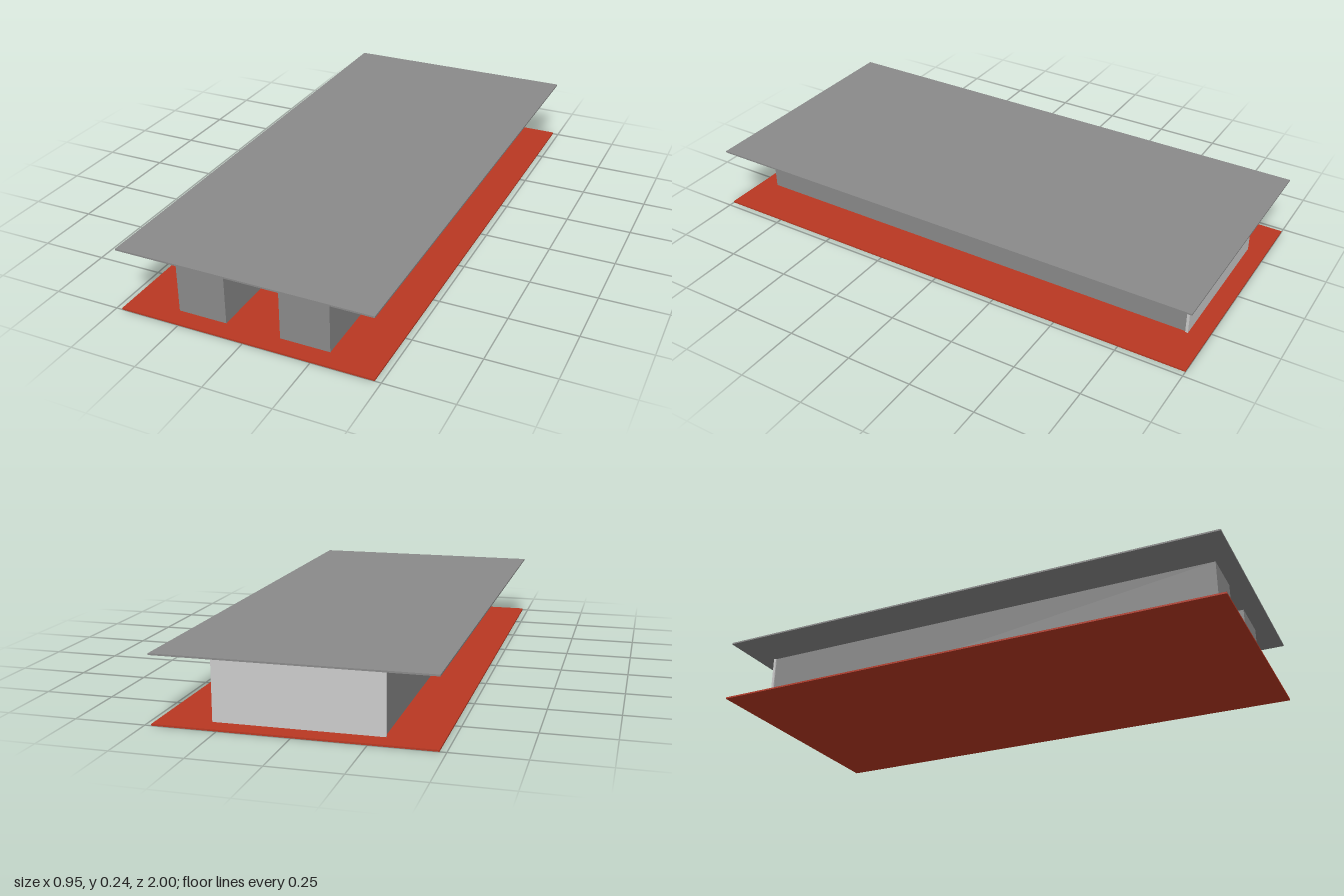
import * as THREE from 'three';

const lightGrey = new THREE.MeshStandardMaterial({ color: 0xcccccc });
const darkGrey = new THREE.MeshStandardMaterial({ color: 0x8a8a8a });
const red = new THREE.MeshStandardMaterial({ color: 0xb93822 });

const WIDTH = 0.954, LENGTH = 2, HEIGHT = 0.244, PLATE = 0.006;
const WALL_HEIGHT = HEIGHT - 2 * PLATE;

function box(name, size, position, material) {
  const mesh = new THREE.Mesh(new THREE.BoxGeometry(...size), material);
  mesh.name = name;
  mesh.position.set(...position);
  return mesh;
}

export function createModel() {
  const model = new THREE.Group();
  model.name = 'platedChannel';

  // Thin plates below and above
  model.add(box('basePlate', [WIDTH, PLATE, LENGTH], [0, PLATE / 2, 0], red));
  model.add(box('topPlate', [WIDTH, PLATE, LENGTH], [0, HEIGHT - PLATE / 2, 0], darkGrey));

  // Two long blocks with an open channel between them
  for (const [name, side] of [['leftBlock', 1], ['rightBlock', -1]]) {
    model.add(box(name, [0.185, WALL_HEIGHT, 1.85], [side * 0.1955, HEIGHT / 2, 0.005], darkGrey));
  }

  // Slightly wider panel closing the back of the channel
  model.add(box('backPanel', [0.586, WALL_HEIGHT, 0.01], [0, HEIGHT / 2, -0.925], lightGrey));

  return model;
}
